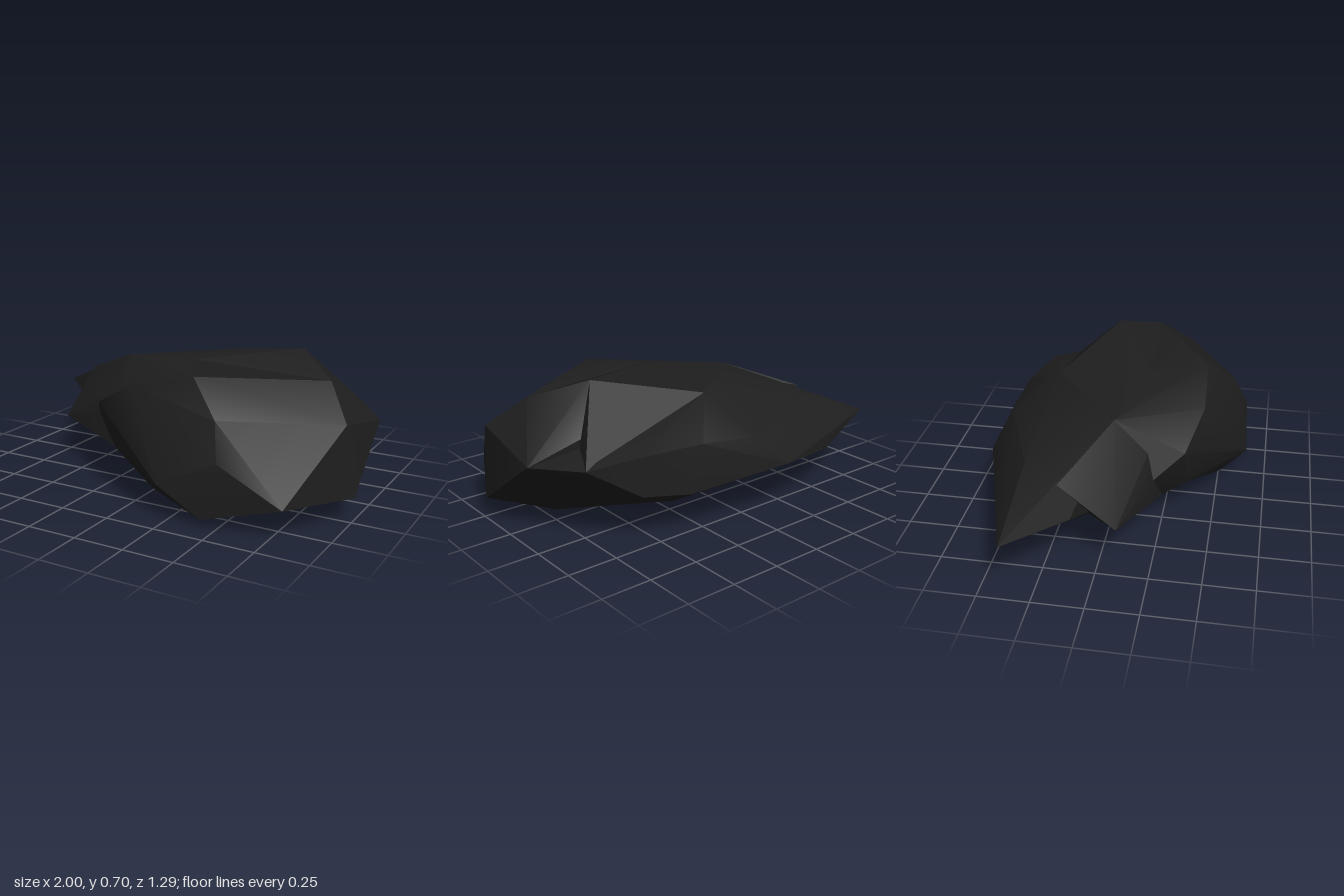
import * as THREE from 'three';
import { ConvexGeometry } from 'three/addons/geometries/ConvexGeometry.js';
import { toCreasedNormals } from 'three/addons/utils/BufferGeometryUtils.js';

// Corners shared by several lobes of the rock
const crown = [0.6, 0.7, -0.105], shoulder = [-0.33, 0.59, 0.02], ridge = [0.12, 0.64, 0.14];
const saddle = [0.11, 0.6, -0.34], dent = [0.74, 0.48, -0.23], cornerLow = [0.82, 0.39, -0.385];
const flank = [0.98, 0.38, -0.16], rightTop = [0.82, 0.61, 0.1];
const rightMid = [0.96, 0.46, 0.26], rightLow = [1, 0.11, 0.22];
const cheekTop = [-0.3, 0.42, 0.36], cheekLow = [-0.2, 0.2, 0.37];
const stepCorner = [-0.39, 0.31, 0.22], stepLow = [-0.25, 0.14, 0.25];
const bellyLeft = [-0.39, 0.08, -0.1], belly = [0.3, 0.09, -0.34];
const keel = [-0.02, 0, 0.12], keelRight = [0.7, 0.01, 0.08], keelBack = [0.2, 0.03, -0.13];
const underside = [keel, keelRight, keelBack, belly];

const lobes = {
  // Broad faceted face
  frontBlock: [
    ...underside, bellyLeft, shoulder, ridge, rightTop, rightMid, rightLow, flank,
    cheekTop, cheekLow, [0.81, 0.145, 0.605], [0.45, 0.48, 0.545], [0.27, 0.63, 0.415],
    [0.5, 0.31, 0.625], [0.42, 0.035, 0.63], [0.2, 0.17, 0.645], [0.1, 0.09, 0.51],
    [-0.07, 0.55, 0.43]
  ],
  // Right side rising to the crown
  rightBlock: [...underside, ridge, crown, rightTop, rightMid, rightLow, flank, dent],
  // Top slope behind the crown
  crownBlock: [...underside, bellyLeft, shoulder, ridge, saddle, crown, dent, cornerLow],
  // Long wedge with an overhanging back edge, running to the pointed left tip
  backWedge: [
    ...underside, bellyLeft, shoulder, saddle, cornerLow, flank,
    [-1, 0.29, -0.38], [-0.57, 0.465, -0.36], [-0.57, 0.2, -0.52], [-0.72, 0.27, -0.12],
    [-0.16, 0.265, -0.65], [0, 0.42, -0.58], [0.3, 0.45, -0.56], [0.62, 0.44, -0.495],
    [0.6, 0.25, -0.5], [0.36, 0.215, -0.55]
  ],
  // Blunt step on the left side
  sideStep: [
    shoulder, ridge, keel, bellyLeft, stepCorner, stepLow,
    [-0.7, 0.44, -0.18], [-0.7, 0.22, 0.09], [-0.3, 0.46, 0.2]
  ],
  // Slope joining the step to the front
  leftCheek: [shoulder, ridge, keel, stepCorner, stepLow, cheekTop, cheekLow]
};

export function createModel() {
  const group = new THREE.Group();
  group.name = 'rock';
  const stone = new THREE.MeshStandardMaterial({ color: 0x1e1e1e });
  stone.name = 'dark stone';
  for (const [name, corners] of Object.entries(lobes)) {
    const hull = new ConvexGeometry(corners.map((p) => new THREE.Vector3(...p)));
    const mesh = new THREE.Mesh(toCreasedNormals(hull, 0.55), stone);
    mesh.name = name;
    group.add(mesh);
  }
  return group;
}
